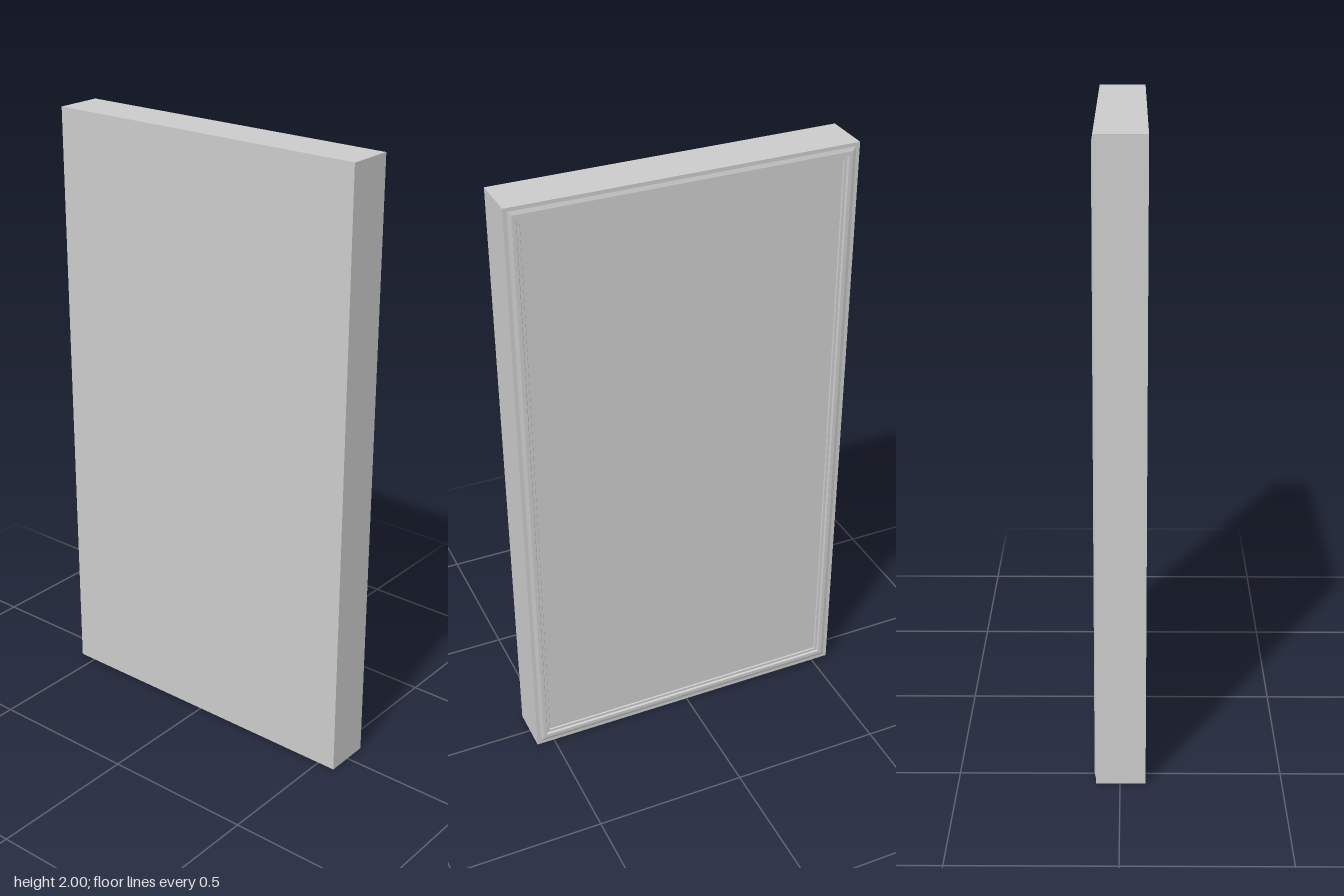
import * as THREE from 'three';

const W = 1.12, H = 2, FRONT = 0.079, PANEL = -0.069;

// Mitred rectangular moulding swept from [inset, z] profile points
function moulding(profile) {
  const corners = [[-1, -1], [-1, 1], [1, 1], [1, -1]];
  const point = ([inset, z], [sx, sy]) => [sx * (W / 2 - inset), H / 2 + sy * (H / 2 - inset), z];
  const pos = [];
  for (let i = 0; i < profile.length - 1; i++) {
    for (let k = 0; k < 4; k++) {
      const c = corners[k], d = corners[(k + 1) % 4];
      const a = point(profile[i], c), b = point(profile[i], d);
      const e = point(profile[i + 1], d), f = point(profile[i + 1], c);
      pos.push(...a, ...b, ...e, ...a, ...e, ...f);
    }
  }
  const geo = new THREE.BufferGeometry();
  geo.setAttribute('position', new THREE.Float32BufferAttribute(pos, 3));
  geo.computeVertexNormals();
  return geo;
}

export function createModel() {
  const group = new THREE.Group();
  const mat = new THREE.MeshStandardMaterial({ color: 0xcccccc, flatShading: true });
  const add = (name, geo) => {
    const mesh = new THREE.Mesh(geo, mat);
    mesh.name = name;
    group.add(mesh);
    return mesh;
  };

  // Solid slab, whose rear face is the recessed panel
  const slab = add('slab', new THREE.BoxGeometry(W, H, FRONT - PANEL));
  slab.position.set(0, H / 2, (FRONT + PANEL) / 2);

  // Rear border: outer lip, bevel, flat ridge, slope down to the panel
  add('rearFrame', moulding([
    [0, PANEL], [0, -0.075], [0.012, -0.075], [0.024, -0.079],
    [0.036, -0.079], [0.039, -0.073], [0.048, -0.073], [0.05, PANEL],
  ]));
  return group;
}
